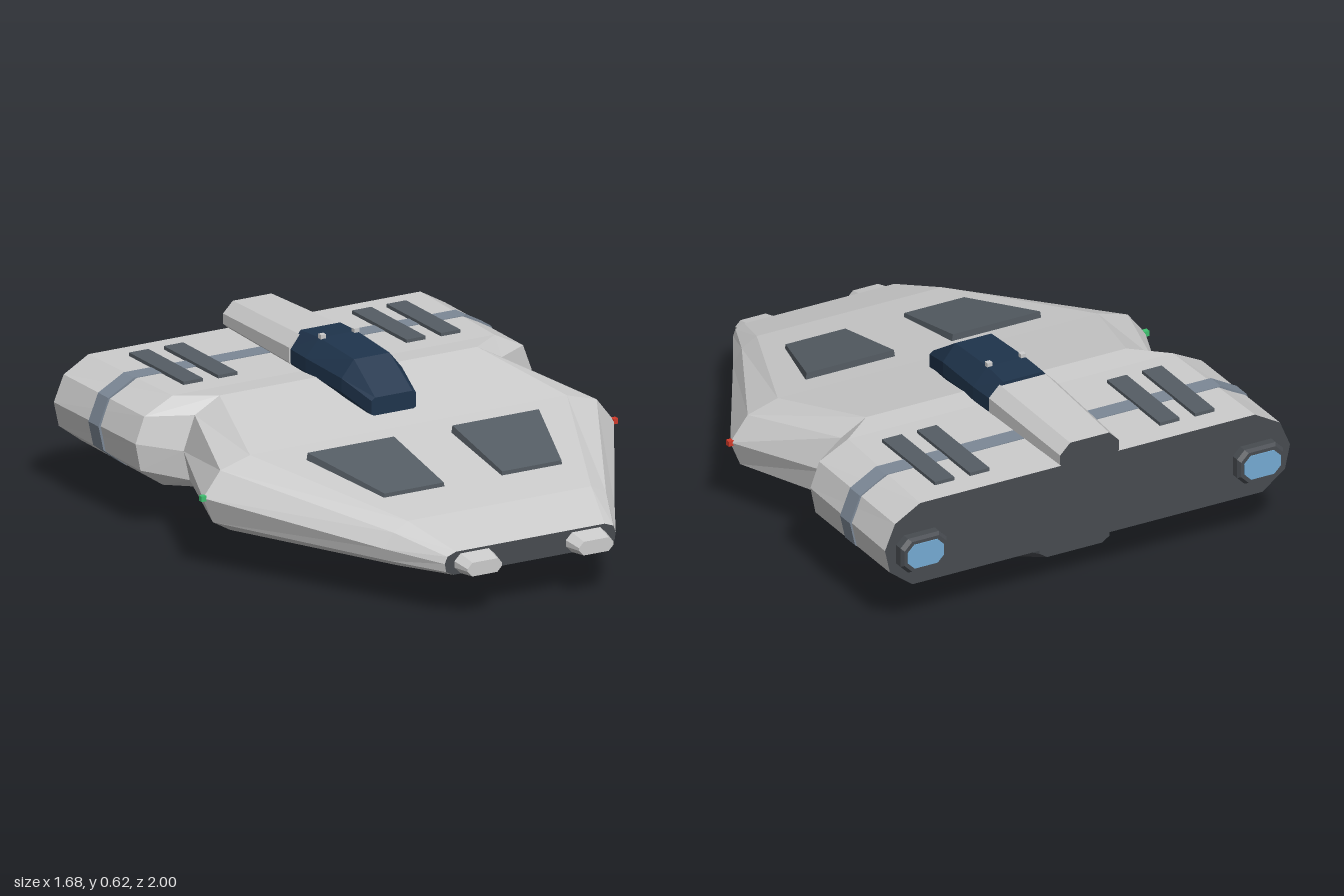
import * as THREE from 'three';

const GREY = 0xcccccc, DARK = 0x555d64, CHARCOAL = 0x474b50, NAVY = 0x1f344c, BLUE = 0x74aad2, BAND = 0x7c8896;

function mesh(name, geometry, color) {
  const m = new THREE.Mesh(geometry, new THREE.MeshStandardMaterial({ color, flatShading: true }));
  m.name = name;
  return m;
}

function geometryFrom(points, index) {
  const g = new THREE.BufferGeometry();
  g.setAttribute('position', new THREE.Float32BufferAttribute(points.flat(), 3));
  g.setIndex(index);
  const flat = g.toNonIndexed();
  flat.computeVertexNormals();
  return flat;
}

// Skin through equal-sized rings, ordered front to back, each counterclockwise seen from +z.
function loft(name, rings, color, frontColor = color, backColor = color) {
  const group = new THREE.Group();
  group.name = name;
  const n = rings[0].length, index = [];
  for (let i = 0; i < rings.length - 1; i++) {
    for (let j = 0; j < n; j++) {
      const a = i * n + j, b = i * n + (j + 1) % n, c = b + n, d = a + n;
      index.push(a, d, c, a, c, b);
    }
  }
  const front = [], back = [];
  for (let j = 1; j < n - 1; j++) {
    front.push(0, j, j + 1);
    back.push(0, j + 1, j);
  }
  group.add(
    mesh(name + 'Skin', geometryFrom(rings.flat(), index), color),
    mesh(name + 'Front', geometryFrom(rings[0], front), frontColor),
    mesh(name + 'Back', geometryFrom(rings[rings.length - 1], back), backColor)
  );
  return group;
}

// Half outline from bottom to top, mirrored into a closed ring at depth z.
function mirrored(z, half) {
  return [
    ...half.map(([x, y]) => [x, y, z]),
    ...half.slice().reverse().map(([x, y]) => [-x, y, z])
  ];
}

// Rectangle with cut corners; cx shifts it sideways.
function cutBox(z, w, y0, y1, cut, cx = 0) {
  const half = [[w - cut, y0], [w, y0 + cut], [w, y1 - cut], [w - cut, y1]];
  return mirrored(z, half).map(([x, y, d]) => [x + cx, y, d]);
}

// Wing outline, optionally swollen outward
const wing = (z, grow = 0) => mirrored(z, [
  [0.70, 0.172 - grow], [0.79 + grow, 0.24], [0.81 + grow, 0.33], [0.77 + grow, 0.425 + grow], [0.67, 0.482 + grow]
]);

export function createModel() {
  const model = new THREE.Group();
  model.name = 'shuttle';

  // Main hull, nose to tail
  model.add(loft('hull', [
    mirrored(0.93, [[0.31, 0.155], [0.34, 0.17], [0.345, 0.2], [0.335, 0.225], [0.30, 0.238]]),
    mirrored(0.72, [[0.41, 0.146], [0.45, 0.17], [0.465, 0.215], [0.43, 0.27], [0.37, 0.302]]),
    mirrored(0.1, [[0.72, 0.15], [0.79, 0.19], [0.83, 0.285], [0.76, 0.375], [0.64, 0.41]]),
    mirrored(-0.31, [[0.56, 0.16], [0.64, 0.2], [0.665, 0.31], [0.62, 0.435], [0.52, 0.49]]),
    mirrored(-0.41, [[0.69, 0.163], [0.78, 0.23], [0.80, 0.33], [0.765, 0.425], [0.65, 0.483]]),
    wing(-0.95)
  ], GREY, CHARCOAL, CHARCOAL));

  // Painted band around the wing
  model.add(loft('wingBand', [wing(-0.64, 0.003), wing(-0.71, 0.003)], BAND));

  // Cockpit canopy
  const canopy = (z, bottomW, midW, topW, bottom, mid, top) =>
    mirrored(z, [[bottomW, bottom], [midW, mid - 0.03], [midW, mid + 0.02], [topW, top]]);
  model.add(loft('canopy', [
    canopy(0, 0.08, 0.09, 0.075, 0.43, 0.465, 0.495),
    canopy(-0.15, 0.1, 0.122, 0.072, 0.44, 0.51, 0.592),
    canopy(-0.38, 0.1, 0.132, 0.075, 0.44, 0.52, 0.605),
    canopy(-0.5, 0.1, 0.126, 0.08, 0.44, 0.52, 0.6)
  ], NAVY));

  // Spine fairing behind the canopy
  model.add(loft('spine', [
    cutBox(-0.49, 0.132, 0.45, 0.588, 0.042),
    cutBox(-0.965, 0.118, 0.455, 0.572, 0.04)
  ], GREY, GREY, CHARCOAL));

  // Belly pod
  const belly = (z, topW, midW, bottomW, bottom, mid) =>
    mirrored(z, [[bottomW, bottom], [midW, mid - 0.02], [midW, mid + 0.02], [topW, 0.185]]);
  model.add(loft('bellyPod', [
    belly(0.2, 0.13, 0.13, 0.11, 0.09, 0.125),
    belly(0, 0.19, 0.204, 0.17, 0.022, 0.09),
    belly(-0.68, 0.19, 0.204, 0.17, 0.022, 0.09),
    belly(-0.86, 0.14, 0.14, 0.11, 0.085, 0.125)
  ], CHARCOAL));

  for (const s of [1, -1]) {
    const side = s > 0 ? 'left' : 'right';

    // Sloped deck hatch
    const hatchRing = (z, y, outer, inset) => {
      const x0 = 0.11, top = y + 0.02;
      const r = [[x0, y - 0.03], [outer, y - 0.03], [outer - inset, top], [x0 + inset, top]];
      const ring = r.map(([x, h]) => [s * x, h, z]);
      return s > 0 ? ring : ring.reverse();
    };
    model.add(loft(side + 'DeckHatch', [
      hatchRing(0.54, 0.328, 0.365, 0.008),
      hatchRing(0.2, 0.398, 0.475, 0.008)
    ], DARK));

    // Wing vents
    for (const x of [0.38, 0.52]) {
      const vent = mesh(side + 'WingVent', new THREE.BoxGeometry(0.078, 0.03, 0.37), DARK);
      vent.position.set(s * x, 0.48, -0.675);
      model.add(vent);
    }

    // Nose prong
    model.add(loft(side + 'NoseProng', [
      cutBox(1, 0.07, 0.163, 0.213, 0.02, s * 0.225),
      cutBox(0.88, 0.09, 0.152, 0.24, 0.028, s * 0.225)
    ], GREY));

    // Engine nozzle with glowing outlet
    model.add(loft(side + 'Engine', [
      cutBox(-0.9, 0.092, 0.24, 0.372, 0.03, s * 0.673),
      cutBox(-0.98, 0.092, 0.24, 0.372, 0.03, s * 0.673),
      cutBox(-0.995, 0.084, 0.248, 0.364, 0.03, s * 0.673)
    ], CHARCOAL));
    model.add(loft(side + 'EngineGlow', [
      cutBox(-0.99, 0.072, 0.26, 0.352, 0.026, s * 0.673),
      cutBox(-0.999, 0.072, 0.26, 0.352, 0.026, s * 0.673)
    ], BLUE));

    // Marker lights
    const lights = [
      ['WingtipLight', s * 0.831, 0.285, 0.1, s > 0 ? 0xd03a2a : 0x3fc070],
      ['CanopyLight', s * 0.067, 0.609, -0.375, GREY],
      ['BellyLight', s * 0.175, 0.01, -0.345, GREY]
    ];
    for (const [name, x, y, z, color] of lights) {
      const light = mesh(side + name, new THREE.BoxGeometry(0.02, 0.02, 0.02), color);
      light.position.set(x, y, z);
      model.add(light);
    }
  }

  // Belly light mounts
  for (const s of [1, -1]) {
    const mount = mesh('bellyLightMount', new THREE.BoxGeometry(0.014, 0.025, 0.014), CHARCOAL);
    mount.position.set(s * 0.17, 0.026, -0.345);
    model.add(mount);
  }
  return model;
}
